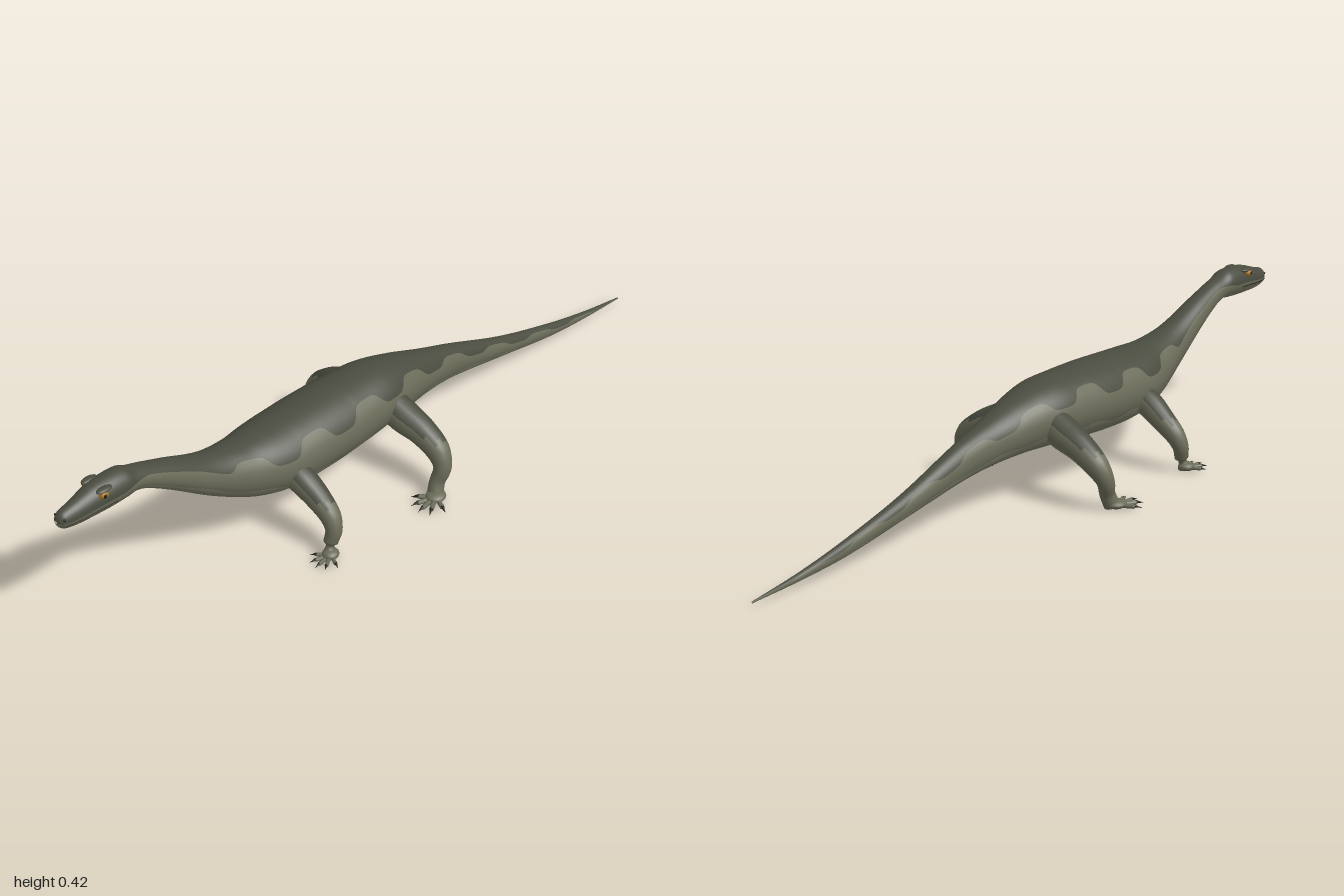
import * as THREE from 'three';

const paint = (name, color) => {
  const m = new THREE.MeshStandardMaterial({ color });
  m.name = name;
  return m;
};

// Closed skin over rings of points; matOf(i, j) picks the material of each quad
function loft(rings, mats, matOf) {
  const n = rings[0].length;
  const pos = rings.flat().flatMap((p) => [p.x, p.y, p.z]);
  const buckets = mats.map(() => []);
  for (let i = 0; i < rings.length - 1; i++) {
    for (let j = 0; j < n; j++) {
      const a = i * n + j, b = i * n + (j + 1) % n, c = a + n, d = b + n;
      buckets[matOf(i, j)].push(a, b, c, b, d, c);
    }
  }
  const g = new THREE.BufferGeometry();
  g.setAttribute('position', new THREE.Float32BufferAttribute(pos, 3));
  g.setIndex(buckets.flat());
  let start = 0;
  buckets.forEach((b, k) => {
    g.addGroup(start, b.length, k);
    start += b.length;
  });
  g.computeVertexNormals();
  return new THREE.Mesh(g, mats);
}

// Body stations: z, top, bottom, half width
const STATIONS = [
  [-1, 0.014, 0.01, 0.002], [-0.85, 0.037, 0.018, 0.009], [-0.7, 0.07, 0.032, 0.015],
  [-0.5, 0.126, 0.068, 0.023], [-0.3, 0.2, 0.105, 0.036], [-0.2, 0.232, 0.117, 0.05],
  [-0.1, 0.265, 0.122, 0.073], [0, 0.289, 0.119, 0.094], [0.1, 0.294, 0.112, 0.103],
  [0.2, 0.296, 0.107, 0.106], [0.3, 0.294, 0.107, 0.105], [0.38, 0.293, 0.116, 0.097],
  [0.46, 0.295, 0.142, 0.077], [0.56, 0.316, 0.198, 0.053], [0.68, 0.365, 0.282, 0.038],
  [0.75, 0.391, 0.326, 0.033], [0.785, 0.402, 0.339, 0.034], [0.81, 0.414, 0.337, 0.037],
  [0.86, 0.416, 0.335, 0.037], [0.9, 0.411, 0.335, 0.033], [0.95, 0.396, 0.336, 0.025],
  [0.985, 0.387, 0.343, 0.019], [0.996, 0.378, 0.352, 0.011], [1, 0.37, 0.362, 0.002],
];

// Smooth interpolation between the stations
function station(z, k) {
  const last = STATIONS.length - 1;
  let i = 0;
  while (i < last - 1 && z > STATIONS[i + 1][0]) i++;
  const slope = (q) => {
    const a = STATIONS[Math.max(q - 1, 0)], b = STATIONS[Math.min(q + 1, last)];
    return (b[k] - a[k]) / (b[0] - a[0]);
  };
  const p = STATIONS[i], q = STATIONS[i + 1], h = q[0] - p[0], t = (z - p[0]) / h;
  const t2 = t * t, t3 = t2 * t;
  return (2 * t3 - 3 * t2 + 1) * p[k] + (t3 - 2 * t2 + t) * h * slope(i)
    + (3 * t2 - 2 * t3) * q[k] + (t3 - t2) * h * slope(i + 1);
}

// Point on the body skin: angle 0 is the spine, PI the middle of the belly
function skin(z, angle, side = 1) {
  const top = station(z, 1), bottom = station(z, 2), w = station(z, 3);
  return new THREE.Vector3(side * w * Math.sin(angle),
    (top + bottom) / 2 + (top - bottom) / 2 * Math.cos(angle), z);
}

const lerp = THREE.MathUtils.lerp, step = THREE.MathUtils.smoothstep;
const HALF = 20, BACK_COLS = 8, FLANK_COLS = 14;

// Wavy lower edge of the dark back, and edge of the pale belly
function backEdge(z) {
  const wave = Math.tanh(2.2 * Math.sin(z * 34 + 1.4)) * 0.23 * (1 - step(z, 0.5, 0.62));
  return lerp(1.0 + wave, 1.65, step(z, 0.74, 0.83));
}
const bellyEdge = (z) => 2.0 + 0.06 * Math.sin(z * 40) + 0.2 * step(z, 0.75, 0.85);

function bodyAngle(z, j) {
  const b = backEdge(z), f = bellyEdge(z);
  if (j <= BACK_COLS) return b * j / BACK_COLS;
  if (j <= FLANK_COLS) return lerp(b, f, (j - BACK_COLS) / (FLANK_COLS - BACK_COLS));
  return lerp(f, Math.PI, (j - FLANK_COLS) / (HALF - FLANK_COLS));
}

function makeBody(mats) {
  const rings = [];
  for (let i = 0; i <= 220; i++) {
    const z = 1 - 2 * Math.pow(1 - i / 220, 1.5);
    const ring = [];
    for (let j = 0; j < 2 * HALF; j++) {
      const k = j <= HALF ? j : 2 * HALF - j;
      ring.push(skin(z, bodyAngle(z, k), j <= HALF ? -1 : 1));
    }
    rings.push(ring);
  }
  return loft(rings, mats, (i, j) => {
    const k = j < HALF ? j : 2 * HALF - 1 - j;
    return k < BACK_COLS ? 0 : k < FLANK_COLS ? 1 : 2;
  });
}

// Tapered limb along a path of [x, y, z, radius]; s is the side
function makeLimb(path, s, mats, darkUntil = 0, cols = 18, rows = 36) {
  const curve = new THREE.CatmullRomCurve3(path.map(([x, y, z]) => new THREE.Vector3(s * x, y, z)));
  const radii = new THREE.CatmullRomCurve3(path.map((p) => new THREE.Vector3(p[3], 0, 0)));
  const rings = [];
  for (let i = 0; i <= rows; i++) {
    const t = i / rows, c = curve.getPoint(t), T = curve.getTangent(t), r = radii.getPoint(t).x;
    const side = new THREE.Vector3(0, 0, s).addScaledVector(T, -s * T.z).normalize();
    const up = side.clone().cross(T);
    rings.push(Array.from({ length: cols }, (_, j) => {
      const a = j / cols * Math.PI * 2;
      return c.clone().addScaledVector(up, r * Math.cos(a)).addScaledVector(side, r * Math.sin(a));
    }));
  }
  return loft(rings, mats, (i, j) => {
    const off = Math.min(j + 0.5, cols - j - 0.5) / cols;
    if (off < 0.16 && i < rows * darkUntil + 2 * Math.sin(j * 2)) return 0;
    return off > 0.36 && i < rows * 0.6 ? 2 : 1;
  });
}

const HIND = [[0.04, 0.2, -0.01, 0.044], [0.1, 0.172, -0.015, 0.043], [0.155, 0.15, -0.022, 0.037],
  [0.207, 0.115, -0.025, 0.031], [0.229, 0.078, -0.018, 0.023], [0.225, 0.04, -0.004, 0.02],
  [0.23, 0.01, 0.008, 0.021]];
const FORE = [[0.04, 0.19, 0.34, 0.038], [0.1, 0.165, 0.337, 0.036], [0.148, 0.132, 0.332, 0.031],
  [0.186, 0.1, 0.332, 0.026], [0.201, 0.07, 0.337, 0.021], [0.199, 0.038, 0.346, 0.018],
  [0.203, 0.009, 0.355, 0.018]];

// Flat palm with five spread toes and claws
function makeFoot(x, z, size, s, flank, claw) {
  const foot = new THREE.Group();
  const palm = new THREE.Mesh(new THREE.SphereGeometry(1, 20, 12), flank);
  palm.name = 'palm';
  palm.scale.set(0.028 * size, 0.012, 0.03 * size);
  palm.position.y = 0.013;
  foot.add(palm);
  [-0.95, -0.42, 0, 0.42, 1.0].forEach((a, i) => {
    const len = size * [0.044, 0.053, 0.057, 0.055, 0.047][i];
    const digit = new THREE.Group();
    digit.name = 'digit';
    const toe = new THREE.Mesh(new THREE.CapsuleGeometry(0.0065 * size, len, 4, 10), flank);
    toe.name = 'toe';
    toe.rotation.x = Math.PI / 2;
    toe.position.set(0, 0.009, len / 2);
    const nail = new THREE.Mesh(new THREE.ConeGeometry(0.005 * size, 0.024 * size, 8), claw);
    nail.name = 'claw';
    nail.rotation.x = Math.PI / 2 + 0.2;
    nail.position.set(0, 0.009, len + 0.013 * size);
    digit.add(toe, nail);
    digit.rotation.y = a * s;
    foot.add(digit);
  });
  foot.position.set(s * x, 0, z);
  foot.rotation.y = s * 0.12;
  return foot;
}

function ball(name, mat, center, rx, ry, rz) {
  const m = new THREE.Mesh(new THREE.SphereGeometry(1, 16, 12), mat);
  m.name = name;
  m.position.copy(center);
  m.scale.set(rx, ry, rz);
  return m;
}

export function createModel() {
  const back = paint('dark back', 0x4a4c40), flank = paint('olive flank', 0x6a6b58);
  const belly = paint('pale belly', 0x7d7e69), claw = paint('black claw', 0x1c1b16);
  const amber = paint('amber eye', 0xb0741a);
  const hide = [back, flank, belly];
  const model = new THREE.Group();
  model.name = 'lizard';
  const add = (name, obj) => {
    obj.name = name;
    model.add(obj);
  };

  add('body', makeBody(hide));
  for (const s of [1, -1]) {
    const label = s > 0 ? 'left' : 'right';
    add(label + 'HindLeg', makeLimb(HIND, s, hide, 0.42));
    add(label + 'FrontLeg', makeLimb(FORE, s, hide, 0.38));
    add(label + 'HindFoot', makeFoot(0.238, 0.015, 0.92, s, flank, claw));
    add(label + 'FrontFoot', makeFoot(0.208, 0.356, 0.74, s, flank, claw));

    // Eyes, brows and nostrils
    const eye = new THREE.Vector3(s * 0.031, 0.396, 0.885);
    add(label + 'Eye', ball('eye', amber, eye, 0.009, 0.01, 0.012));
    add(label + 'Pupil', ball('pupil', claw, new THREE.Vector3(s * 0.0385, 0.396, 0.887), 0.002, 0.005, 0.005));
    add(label + 'Brow', ball('brow', back, new THREE.Vector3(s * 0.026, 0.405, 0.88), 0.011, 0.006, 0.022));
    add(label + 'Nostril', ball('nostril', claw, skin(0.988, 1.15, s), 0.003, 0.003, 0.003));

    // Mouth line
    const lip = [0.85, 0.88, 0.91, 0.94, 0.965, 0.985, 0.994].map((z) => skin(z, 1.9, s));
    add(label + 'Mouth', new THREE.Mesh(
      new THREE.TubeGeometry(new THREE.CatmullRomCurve3(lip), 24, 0.0014, 6), claw));
  }
  return model;
}
